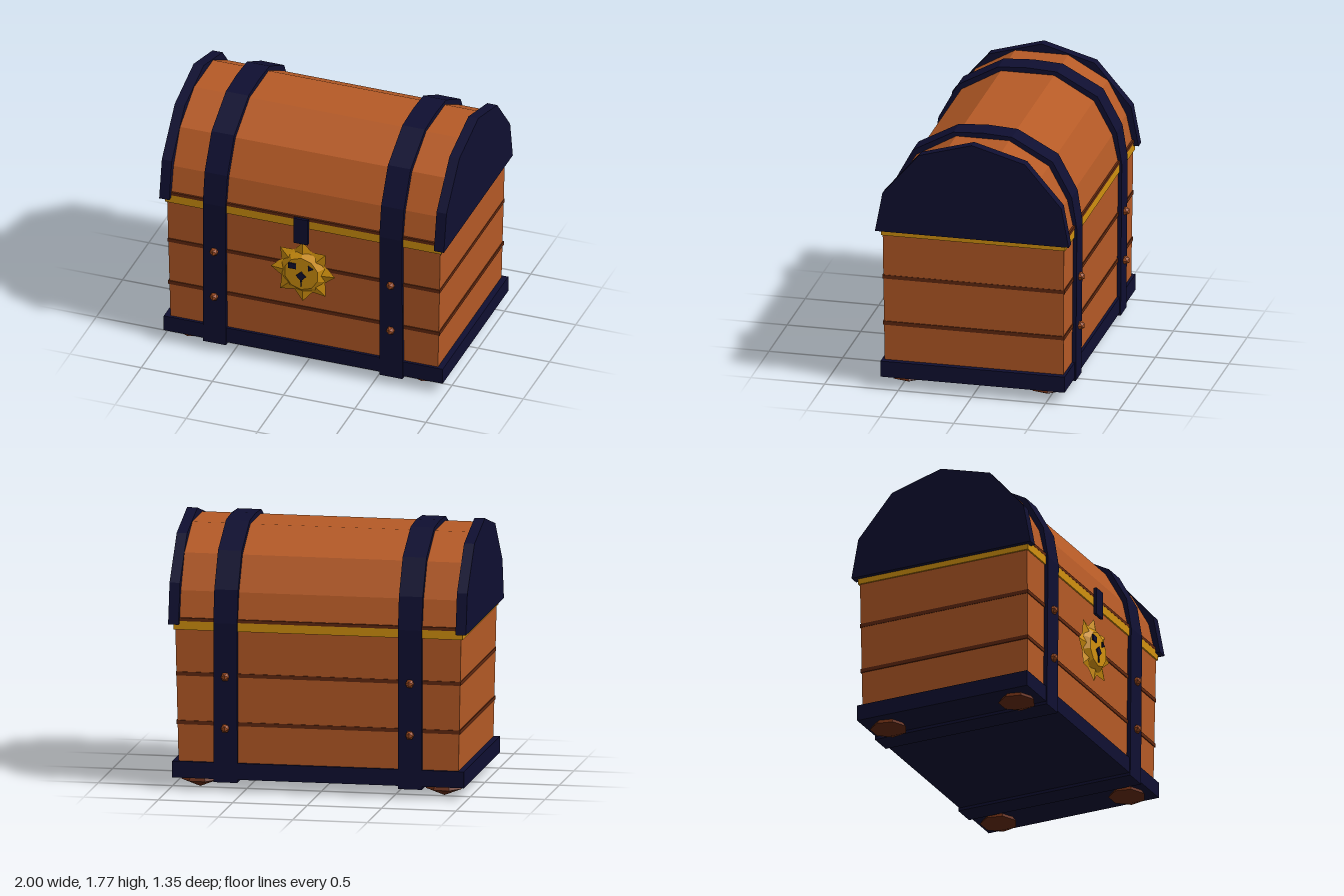
import * as THREE from 'three';

const mat = (name, color) => {
  const m = new THREE.MeshStandardMaterial({ color });
  m.name = name;
  return m;
};

export function createModel() {
  const wood = mat('wood', 0xb55a26);
  const iron = mat('darkBlueIron', 0x0f0f31);
  const gold = mat('gold', 0xd0900f);
  const groove = mat('darkWood', 0x602810);
  const copper = mat('copper', 0xa24c20);
  const chest = new THREE.Group();
  chest.name = 'treasureChest';

  const add = (name, geometry, material, x = 0, y = 0, z = 0) => {
    // unshared corners keep every facet flat
    const g = geometry.index ? geometry.toNonIndexed() : geometry;
    g.computeVertexNormals();
    const mesh = new THREE.Mesh(g, material);
    mesh.name = name;
    mesh.position.set(x, y, z);
    chest.add(mesh);
    return mesh;
  };
  // box given by half width, bottom, top and half depth
  const slab = (name, hx, y0, y1, hz, material) =>
    add(name, new THREE.BoxGeometry(hx * 2, y1 - y0, hz * 2), material, 0, (y0 + y1) / 2, 0);
  // half outline of [z, y] points, mirrored front to back and extruded along x
  const arch = (half, width) => {
    const mirrored = half.filter(p => p[0] > 0).reverse().map(([z, y]) => [-z, y]);
    const shape = new THREE.Shape([...half, ...mirrored].map(([z, y]) => new THREE.Vector2(z, y)));
    return new THREE.ExtrudeGeometry(shape, { depth: width, bevelEnabled: false })
      .translate(0, 0, -width / 2).rotateY(-Math.PI / 2);
  };
  const plate = (points, depth) => new THREE.ExtrudeGeometry(
    new THREE.Shape(points.map(([x, y]) => new THREE.Vector2(x, y))), { depth, bevelEnabled: false });

  // Body, widening slightly towards the top
  const bodyGeo = new THREE.BoxGeometry(1.92, 0.95, 1.23);
  const p = bodyGeo.attributes.position;
  for (let i = 0; i < p.count; i++) {
    if (p.getY(i) < 0) p.setXYZ(i, p.getX(i) * 0.978, p.getY(i), p.getZ(i) * 0.985);
  }
  add('body', bodyGeo, wood, 0, 0.625, 0);
  slab('base', 0.98, 0.08, 0.19, 0.625, iron);
  slab('lowerPlankGroove', 0.953, 0.438, 0.464, 0.615, groove);
  slab('upperPlankGroove', 0.956, 0.765, 0.791, 0.618, groove);
  slab('goldRim', 0.97, 1.075, 1.133, 0.625, gold);
  slab('lidGroove', 0.935, 1.133, 1.155, 0.626, groove);

  // Arched lid with heavy end caps
  add('lid', arch([[0.62, 1.12], [0.575, 1.33], [0.45, 1.56], [0.18, 1.715]], 1.88), wood);
  const cap = [[0.658, 1.113], [0.607, 1.385], [0.36, 1.672], [0, 1.775]];

  // Straps wrap the chest from underneath to the top of the lid
  const strap = [[0.632, 0.06], [0.64, 1.13], [0.605, 1.35], [0.475, 1.59], [0.2, 1.74], [0, 1.752]];
  for (const s of [-1, 1]) {
    add('lidEndCap', arch(cap, 0.07), iron, s * 0.965);
    add('strap', arch(strap, 0.16), iron, s * 0.62);
    for (const f of [-1, 1]) {
      for (const y of [0.425, 0.772]) {
        add('rivet', new THREE.IcosahedronGeometry(0.031), copper, s * 0.62, y, f * 0.645);
      }
      // Low faceted foot with a pointed underside
      const foot = new THREE.LatheGeometry([[0, 0], [0.125, 0.05], [0.1, 0.085]]
        .map(([r, y]) => new THREE.Vector2(r, y)), 7);
      add('foot', foot, groove, s * 0.82, 0, f * 0.472);
    }
  }

  // Clasp hanging over the rim
  add('clasp', new THREE.BoxGeometry(0.1, 0.19, 0.02), iron, 0, 1.075, 0.665);

  // Sun shaped lock: ridged eight pointed star with a round face
  const star = [];
  const corner = i => {
    const r = i % 2 ? 0.165 : 0.226;
    const a = i * Math.PI / 8;
    return [r * Math.cos(a), r * Math.sin(a), i % 2 ? 0.008 : 0.02];
  };
  for (let i = 0; i < 16; i++) {
    star.push(0, 0, 0.05, ...corner(i), ...corner(i + 1));
    star.push(0, 0, 0, ...corner(i + 1), ...corner(i));
  }
  const starGeo = new THREE.BufferGeometry();
  starGeo.setAttribute('position', new THREE.Float32BufferAttribute(star, 3));
  add('sunRays', starGeo, gold, 0, 0.742, 0.612);
  const disc = new THREE.CylinderGeometry(0.12, 0.157, 0.035, 10).rotateX(Math.PI / 2);
  add('sunFace', disc, gold, 0, 0.742, 0.6455);

  // Face marks and keyhole
  const marks = {
    squareEye: [[-0.09, 0.775], [-0.035, 0.775], [-0.035, 0.815], [-0.09, 0.815]],
    triangleEye: [[0.05, 0.775], [0.085, 0.795], [0.05, 0.815]],
    keyhole: [[0, 0.645], [0.005, 0.695], [0.034, 0.727], [0, 0.76], [-0.034, 0.727], [-0.005, 0.695]],
  };
  for (const [name, points] of Object.entries(marks)) {
    add(name, plate(points, 0.009), iron, 0, 0, 0.663);
  }
  return chest;
}
